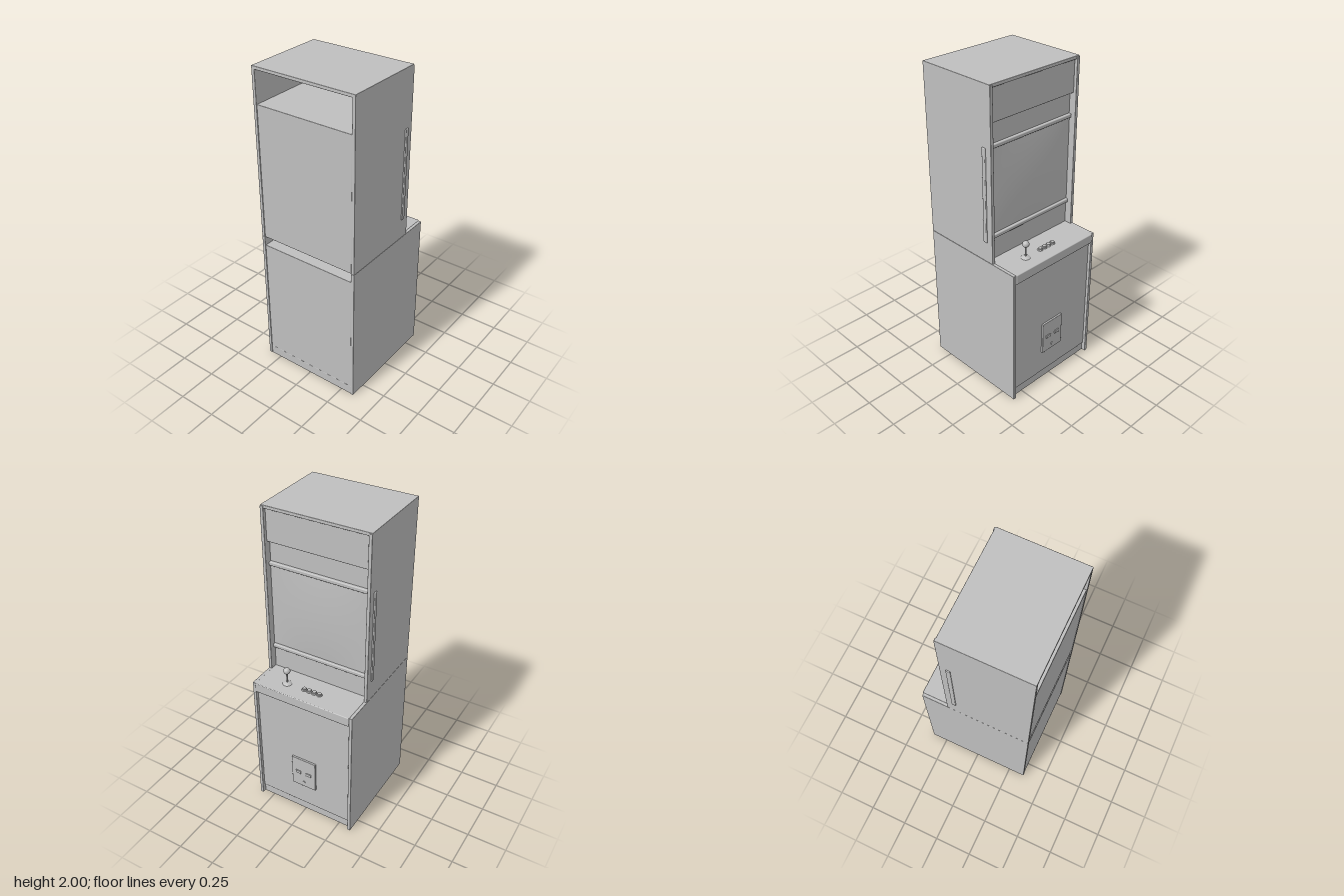
import * as THREE from 'three';
import { RoundedBoxGeometry } from 'three/addons/geometries/RoundedBoxGeometry.js';

export function createModel() {
  const model = new THREE.Group();
  model.name = 'arcadeCabinet';
  const grey = new THREE.MeshStandardMaterial({ color: 0xbfbfbf });
  grey.name = 'cabinetGrey';

  const add = (name, geometry, x = 0, y = 0, z = 0, parent = model) => {
    const mesh = new THREE.Mesh(geometry, grey);
    mesh.name = name;
    mesh.position.set(x, y, z);
    parent.add(mesh);
    return mesh;
  };
  // Rounded box given by its limits on each axis
  const box = (name, [x0, x1], [y0, y1], [z0, z1], r = 0.003, parent = model) =>
    add(name, new RoundedBoxGeometry(x1 - x0, y1 - y0, z1 - z0, 2, r),
      (x0 + x1) / 2, (y0 + y1) / 2, (z0 + z1) / 2, parent);

  const inner = [-0.322, 0.322];

  // Side panels and side rails, mirrored
  for (const s of [-1, 1]) {
    const span = (a, b) => (s > 0 ? [a, b] : [-b, -a]);
    box('lowerSidePanel', span(0.322, 0.343), [0, 0.92], [-0.353, 0.36]);
    box('upperSidePanel', span(0.322, 0.343), [0.92, 1.995], [-0.18, 0.36]);
    box('sideRail', span(0.338, 0.35), [1.05, 1.64], [-0.14, -0.113], 0.005);
  }

  // Main bodies between the side panels
  box('lowerBody', inner, [0.06, 0.86], [-0.335, 0.357]);
  box('kickPlate', inner, [0, 0.062], [-0.328, 0.357]);
  box('upperBody', inner, [0.92, 1.78], [-0.135, 0.357]);
  box('roof', [-0.343, 0.343], [1.98, 2], [-0.175, 0.36]);
  box('marquee', inner, [1.78, 1.982], [-0.162, -0.11], 0.004);

  // Screen with a gently bulging face, framed by two bars
  const glass = new THREE.PlaneGeometry(0.644, 0.54, 20, 20);
  const p = glass.attributes.position;
  for (let i = 0; i < p.count; i++) {
    const u = p.getX(i) / 0.322, v = p.getY(i) / 0.27;
    p.setZ(i, 0.012 * (1 - u * u) * (1 - v * v));
  }
  glass.computeVertexNormals();
  glass.rotateY(Math.PI);
  add('screen', glass, 0, 1.36, -0.136);
  box('screenTopBar', inner, [1.625, 1.65], [-0.153, -0.13], 0.006);
  box('screenBottomBar', inner, [1.065, 1.09], [-0.153, -0.13], 0.006);

  // Control deck
  box('controlDeck', [-0.324, 0.324], [0.86, 0.922], [-0.359, -0.12], 0.005);

  // Joystick
  const stick = new THREE.Group();
  stick.name = 'joystick';
  stick.position.set(0.155, 0.92, -0.26);
  model.add(stick);
  const collar = [[0.029, 0], [0.028, 0.005], [0.018, 0.008], [0.008, 0.014], [0, 0.015]];
  add('joystickCollar', new THREE.LatheGeometry(collar.map(([r, y]) => new THREE.Vector2(r, y)), 28), 0, 0, 0, stick);
  add('joystickShaft', new THREE.CylinderGeometry(0.005, 0.005, 0.09, 14), 0, 0.045, 0, stick);
  add('joystickBall', new THREE.SphereGeometry(0.021, 24, 16), 0, 0.095, 0, stick);

  // Row of push buttons
  for (let i = 0; i < 4; i++) {
    const x = -0.07 + i * 0.0345;
    add('buttonRim', new THREE.CylinderGeometry(0.016, 0.018, 0.009, 24), x, 0.925, -0.26);
    add('buttonCap', new THREE.CylinderGeometry(0.012, 0.013, 0.016, 24), x, 0.928, -0.26);
  }

  // Coin door with two slots and a round lock
  box('coinDoor', [-0.085, 0.085], [0.215, 0.435], [-0.347, -0.33], 0.004);
  for (const s of [-1, 1]) {
    const x = s * 0.037;
    box('coinSlot', [x - 0.019, x + 0.019], [0.316, 0.338], [-0.353, -0.34], 0.003);
  }
  add('coinDoorLock', new THREE.CylinderGeometry(0.011, 0.011, 0.014, 20), 0, 0.25, -0.345).rotation.x = Math.PI / 2;

  return model;
}
